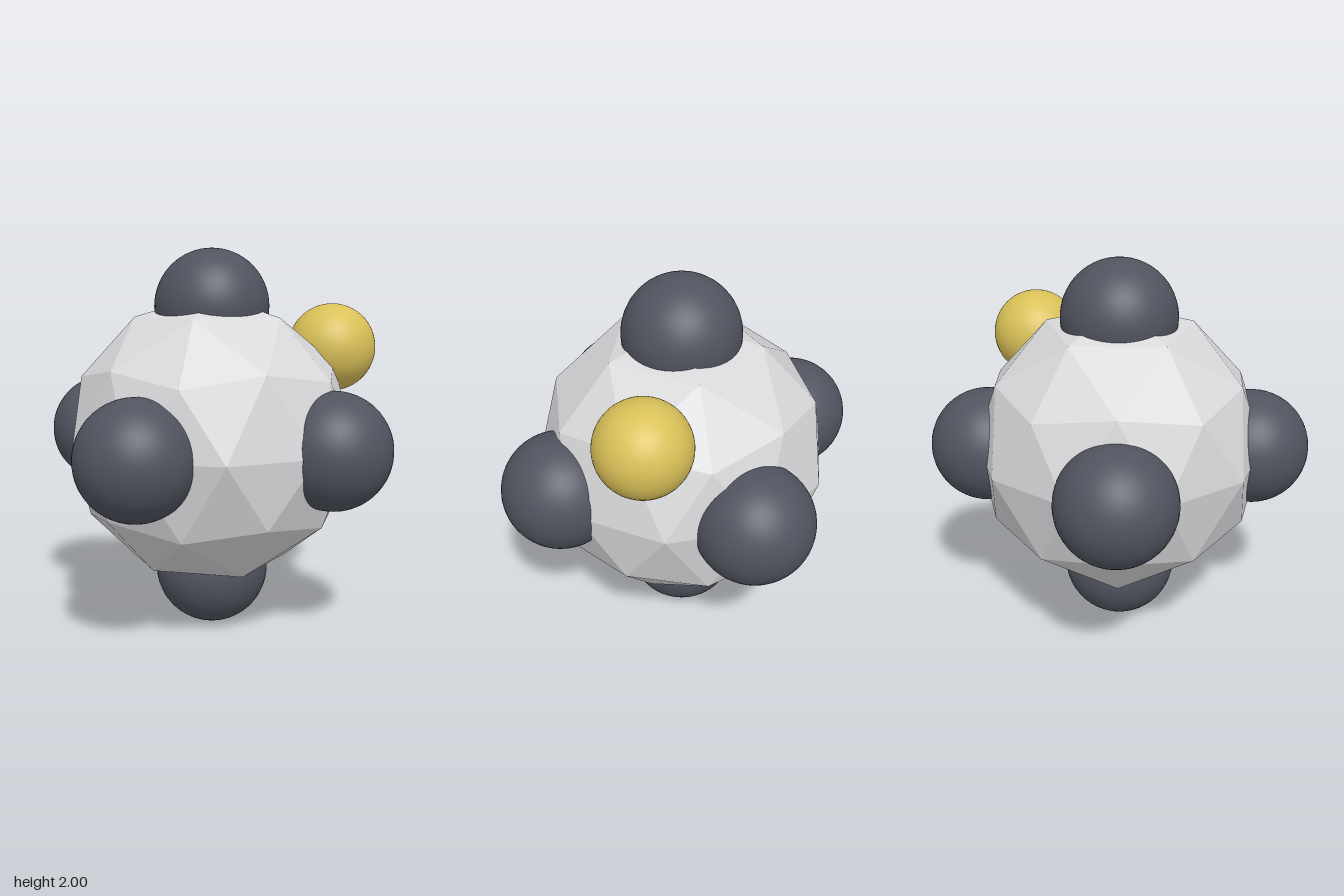
import * as THREE from 'three';

export function createModel() {
  const model = new THREE.Group();
  const paleGrey = new THREE.MeshStandardMaterial({ color: 0xd9d9dc, flatShading: true });
  paleGrey.name = 'paleGrey';
  const slate = new THREE.MeshStandardMaterial({ color: 0x50545f });
  slate.name = 'slate';
  const gold = new THREE.MeshStandardMaterial({ color: 0xd9c058 });
  gold.name = 'gold';

  const add = (name, geometry, material, x, y, z) => {
    const mesh = new THREE.Mesh(geometry, material);
    mesh.name = name;
    mesh.position.set(x, y, z);
    model.add(mesh);
  };

  // Faceted core, turned so that one five-sided corner points straight up
  const core = new THREE.IcosahedronGeometry(0.763, 1);
  core.rotateZ(-Math.atan(2 / (1 + Math.sqrt(5))));
  add('core', core, paleGrey, 0, 1, 0);

  // Six knobs, one on each axis
  const knob = new THREE.SphereGeometry(0.3, 48, 32);
  const directions = {
    left: [1, 0, 0], right: [-1, 0, 0],
    top: [0, 1, 0], bottom: [0, -1, 0],
    front: [0, 0, 1], back: [0, 0, -1],
  };
  for (const [side, [x, y, z]] of Object.entries(directions)) {
    add(side + 'Knob', knob, slate, x * 0.7, 1 + y * 0.7, z * 0.7);
  }

  // Small accent ball on the upper back left diagonal
  add('accentBall', new THREE.SphereGeometry(0.235, 48, 32), gold, 0.473, 1.476, -0.473);

  return model;
}
